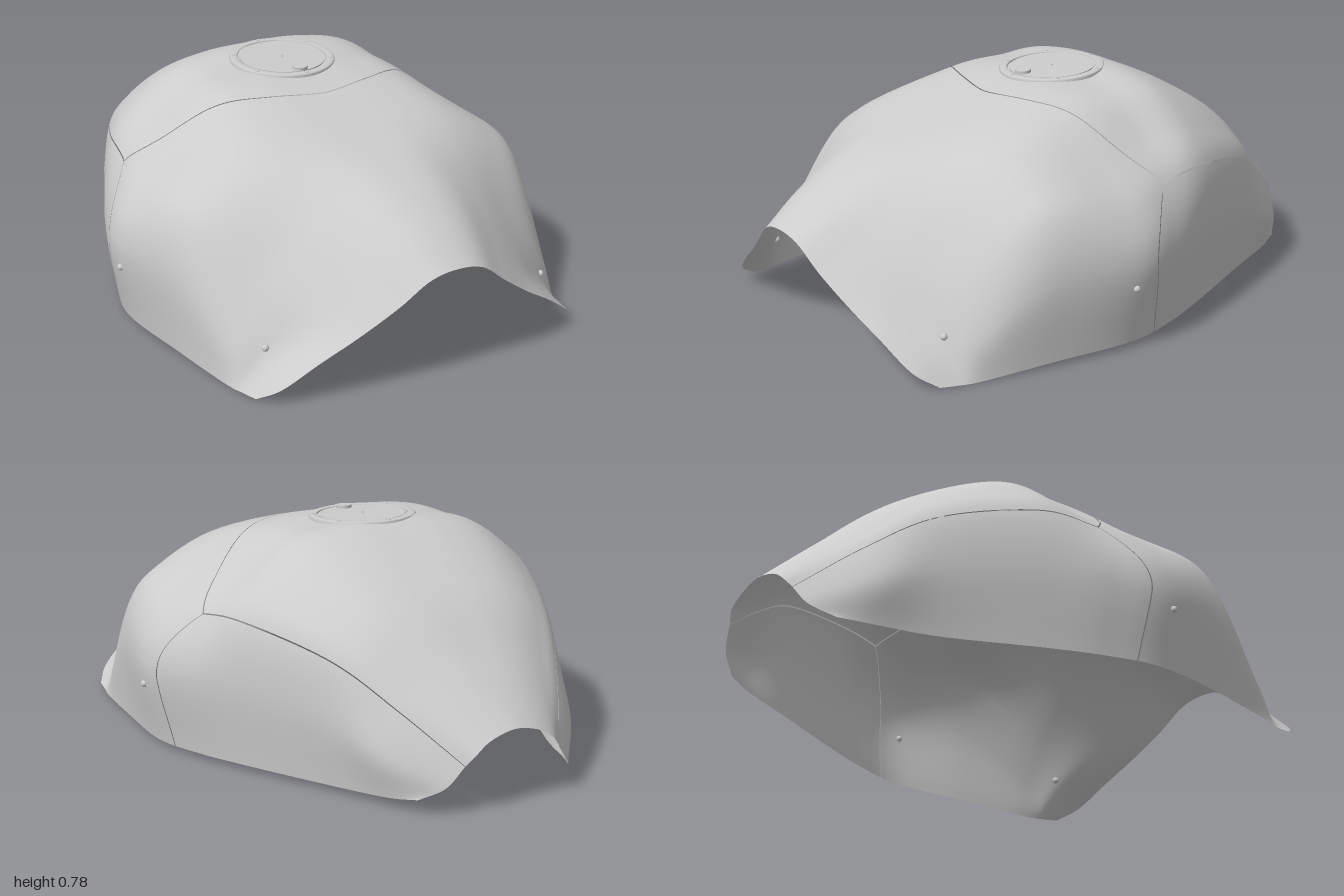
import * as THREE from 'three';

// Half cross-sections from the centreline (first point) to the lower rim (last point)
const flat = (z, ...xy) => xy.map(([x, y]) => [x, y, z]);
const frontEdge = [[0, .395, 1], [.1, .375, .995], [.2, .3, .975], [.32, .215, .94], [.44, .14, .905], [.552, .058, .862], [.607, .01, .795]];
const nose = [[0, .5, .85], [.13, .475, .845], [.255, .38, .83], [.37, .277, .81], [.463, .182, .783], [.55, .095, .75], [.618, .004, .73]];
const rearEdge = [[0, .265, -1], [.06, .255, -1], [.11, .235, -1], [.15, .205, -1], [.18, .17, -.985], [.235, .1, -.96], [.295, .052, -.895]];
const sections = [
  frontEdge,
  nose,
  flat(.65, [0, .595], [.15, .577], [.3, .497], [.43, .383], [.545, .258], [.615, .132], [.638, .005]),
  flat(.4, [0, .67], [.18, .667], [.36, .637], [.52, .563], [.635, .47], [.69, .29], [.677, .018]),
  flat(.1, [0, .75], [.19, .748], [.355, .714], [.52, .598], [.68, .457], [.745, .29], [.705, .023]),
  flat(-.1, [0, .765], [.18, .76], [.345, .728], [.485, .622], [.615, .505], [.69, .31], [.655, .025]),
  flat(-.3, [0, .765], [.17, .76], [.333, .724], [.468, .633], [.568, .515], [.6, .31], [.57, .026]),
  flat(-.6, [0, .614], [.13, .61], [.25, .587], [.353, .533], [.43, .445], [.455, .25], [.425, .027]),
  flat(-.8, [0, .445], [.09, .441], [.172, .419], [.247, .377], [.31, .32], [.37, .18], [.345, .039]),
  rearEdge,
];
const ACROSS = 6, ALONG = sections.length - 1;
const SEAM_U = 4, SEAM_GAP = .0022;

const spline = (a, b, c, d, t) =>
  b + .5 * t * (c - a + t * (2 * a - 5 * b + 4 * c - d + t * (3 * (b - c) + d - a)));
const blend = (get, s, last) => {
  const i = Math.min(Math.floor(s), last - 1), t = s - i;
  const [a, b, c, d] = [get(i - 1), get(i), get(i + 1), get(i + 2)];
  return b.map((_, k) => spline(a[k], b[k], c[k], d[k], t));
};
const extend = (p, q) => p.map((n, k) => 2 * n - q[k]);

// Smooth point on the shell: u runs across (-6 to 6), v from front to rear
function surface(u, v) {
  const across = (row) => blend((i) => {
    if (i < 0) return [-row[-i][0], row[-i][1], row[-i][2]];
    return i > ACROSS ? extend(row[ACROSS], row[ACROSS - 1]) : row[i];
  }, Math.abs(u), ACROSS);
  const p = blend((j) => {
    if (j < 0) return extend(across(sections[0]), across(sections[1]));
    if (j > ALONG) return extend(across(sections[ALONG]), across(sections[ALONG - 1]));
    return across(sections[j]);
  }, v, ALONG);
  return [u < 0 ? -p[0] : p[0], p[1], p[2]];
}

// The v at which the shell reaches a given z
function findV(u, z) {
  let lo = 0, hi = ALONG;
  for (let k = 0; k < 24; k++) {
    const mid = (lo + hi) / 2;
    if (surface(u, mid)[2] > z) lo = mid; else hi = mid;
  }
  return (lo + hi) / 2;
}

// Seam between the front cover and the panels behind it
function seamZ(u) {
  const a = Math.abs(u);
  if (a <= SEAM_U) return .2 - .29 * (a / SEAM_U) ** 1.5;
  const t = Math.min(1, (a - SEAM_U) / 1.1);
  return -.09 + .12 * (1 - (1 - t) ** 2) - .03 * Math.max(0, (a - 5.1) / .9);
}

// Curved panel between two u limits and two v limits that vary with u
function panel(name, u0, u1, vStart, vEnd, nu, nv, material) {
  const pos = [], index = [];
  for (let i = 0; i <= nu; i++) {
    const u = u0 + (u1 - u0) * i / nu, a = vStart(u), b = vEnd(u);
    for (let j = 0; j <= nv; j++) {
      pos.push(...surface(u, a + (b - a) * j / nv));
      if (i < nu && j < nv) {
        const p = i * (nv + 1) + j, q = p + nv + 1;
        index.push(p, q, p + 1, q, q + 1, p + 1);
      }
    }
  }
  const g = new THREE.BufferGeometry();
  g.setAttribute('position', new THREE.Float32BufferAttribute(pos, 3));
  g.setIndex(index);
  g.computeVertexNormals();
  const mesh = new THREE.Mesh(g, material);
  mesh.name = name;
  return mesh;
}

export function createModel() {
  const grey = new THREE.MeshStandardMaterial({ color: 0xcccccc, side: THREE.DoubleSide });
  grey.name = 'satin grey';
  const model = new THREE.Group();
  model.name = 'tankCover';

  // Shell panels, separated by narrow gaps
  const front = () => 0, rear = () => ALONG;
  const beforeSeam = (u) => findV(u, seamZ(u) + SEAM_GAP);
  const afterSeam = (u) => findV(u, seamZ(u) - SEAM_GAP);
  const d = .014;
  model.add(
    panel('frontCover', -ACROSS, ACROSS, front, beforeSeam, 120, 50, grey),
    panel('topCover', -SEAM_U + d, SEAM_U - d, afterSeam, rear, 80, 50, grey),
    panel('leftSidePanel', SEAM_U + d, ACROSS, afterSeam, rear, 30, 50, grey),
    panel('rightSidePanel', -ACROSS, -SEAM_U - d, afterSeam, rear, 30, 50, grey),
  );

  // Fasteners on the front cover
  for (const side of [-1, 1]) {
    for (const [u, z] of [[4.6, .73], [5.28, .12]]) {
      const rivet = new THREE.Mesh(new THREE.SphereGeometry(.012, 16, 10), grey);
      rivet.position.set(...surface(side * u, findV(side * u, z)));
      rivet.name = 'rivet';
      model.add(rivet);
    }
  }

  // Filler cap: raised ring, recessed lid, lock and ring screws
  const cap = new THREE.Group();
  cap.name = 'fillerCap';
  const add = (name, geometry, x, y, z) => {
    const mesh = new THREE.Mesh(geometry, grey);
    mesh.position.set(x, y, z);
    mesh.name = name;
    cap.add(mesh);
  };
  const ring = [[.155, -.02], [.155, .004], [.159, .008], [.179, .007], [.184, .002], [.184, -.02]];
  add('capRing', new THREE.LatheGeometry(ring.map(([r, y]) => new THREE.Vector2(r, y)), 64), 0, 0, 0);
  add('capLid', new THREE.CylinderGeometry(.149, .149, .02, 64), 0, -.004, 0);
  add('capLock', new THREE.CylinderGeometry(.027, .027, .014, 32), 0, .009, .123);
  add('capCentre', new THREE.CylinderGeometry(.004, .004, .006, 12), 0, .006, 0);
  for (let k = 0; k < 6; k++) {
    const a = k * Math.PI / 3;
    add('capScrew', new THREE.CylinderGeometry(.007, .007, .006, 12), .169 * Math.sin(a), .006, .169 * Math.cos(a));
  }
  cap.position.set(0, .765, -.09);
  cap.rotation.x = .05;
  model.add(cap);
  return model;
}
